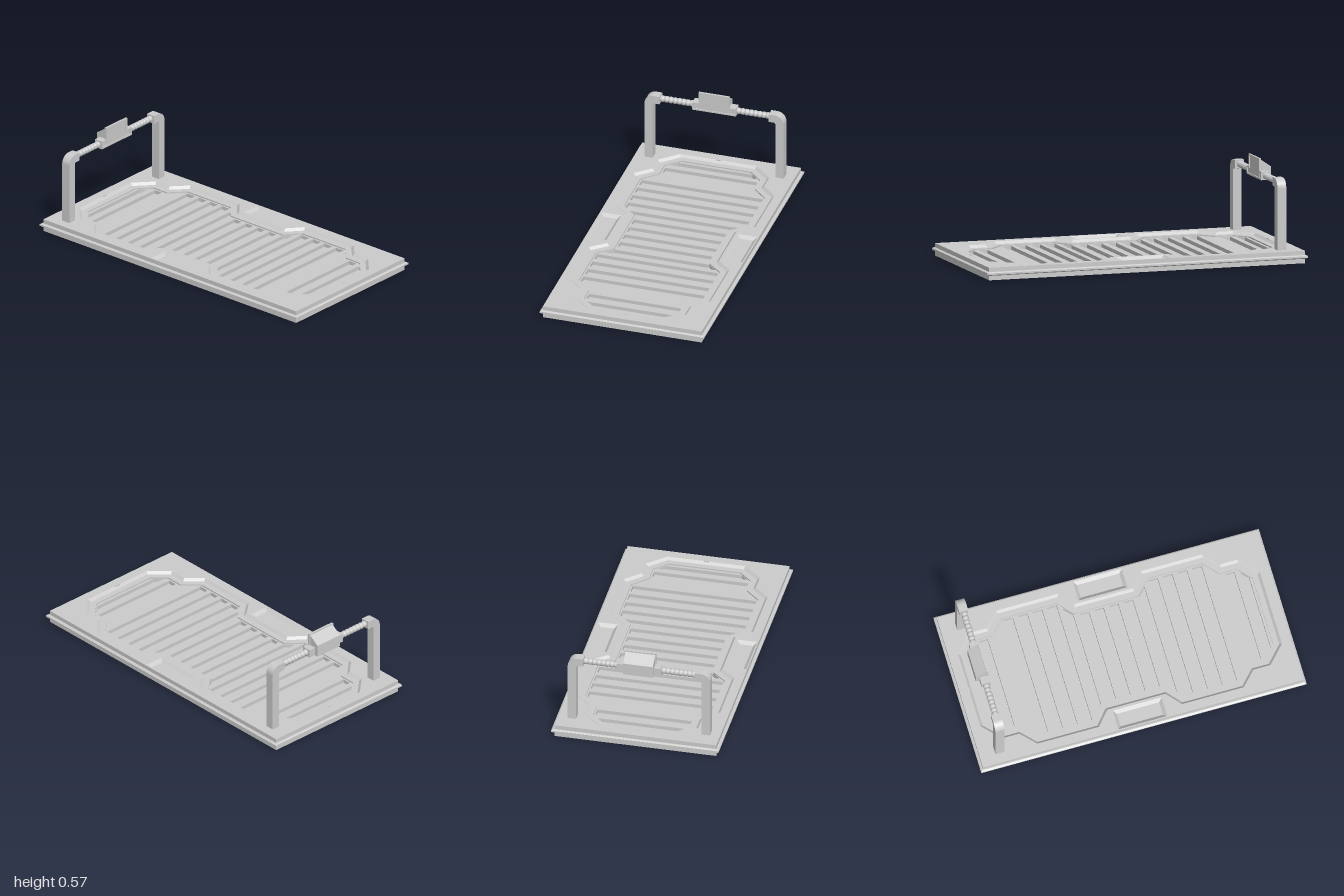
import * as THREE from 'three';

const material = new THREE.MeshStandardMaterial({ color: 0xcccccc });
const add = (parent, name, geometry) => {
  const mesh = new THREE.Mesh(geometry, material);
  mesh.name = name;
  parent.add(mesh);
  return mesh;
};
const vec = (pts) => pts.map(([x, y]) => new THREE.Vector2(x, y));
const rect = (x0, x1, y0, y1) => [[x0, y0], [x1, y0], [x1, y1], [x0, y1]];

// Shape from an outline and hole outlines
function shapeOf(points, holes = []) {
  const shape = new THREE.Shape(vec(points));
  holes.forEach((h) => shape.holes.push(new THREE.Path(vec(h))));
  return shape;
}

// Horizontal plate between two heights; outline y becomes -z
function plate(points, holes, y0, y1) {
  const g = new THREE.ExtrudeGeometry(shapeOf(points, holes), { depth: y1 - y0, bevelEnabled: false });
  return g.rotateX(-Math.PI / 2).translate(0, y0, 0);
}

// Upright plate between two depths
function upright(points, holes, z0, z1) {
  const g = new THREE.ExtrudeGeometry(shapeOf(points, holes), { depth: z1 - z0, bevelEnabled: false });
  return g.translate(0, 0, z0);
}

// Counter-clockwise outline moved inwards by d with mitred corners
function inset(points, d) {
  const n = points.length;
  const normal = (a, b) => {
    const l = Math.hypot(b[0] - a[0], b[1] - a[1]);
    return [-(b[1] - a[1]) / l, (b[0] - a[0]) / l];
  };
  return points.map((p, i) => {
    const u = normal(points[(i + n - 1) % n], p);
    const v = normal(p, points[(i + 1) % n]);
    const k = d / (1 + u[0] * v[0] + u[1] * v[1]);
    return [p[0] + (u[0] + v[0]) * k, p[1] + (u[1] + v[1]) * k];
  });
}

// Flat-faced skin between matching outlines, each given as [outline, height]
function loft(rings) {
  const pos = [];
  for (let r = 0; r + 1 < rings.length; r++) {
    const [lo, y0] = rings[r], [hi, y1] = rings[r + 1];
    lo.forEach((p, i) => {
      const j = (i + 1) % lo.length;
      const a = [p[0], y0, -p[1]], b = [lo[j][0], y0, -lo[j][1]];
      const c = [hi[j][0], y1, -hi[j][1]], d = [hi[i][0], y1, -hi[i][1]];
      pos.push(...a, ...b, ...c, ...a, ...c, ...d);
    });
  }
  const g = new THREE.BufferGeometry();
  g.setAttribute('position', new THREE.Float32BufferAttribute(pos, 3));
  g.computeVertexNormals();
  return g;
}

function buildBase() {
  const base = new THREE.Group();
  base.name = 'base';
  const TOP = 0.075, RING = 0.06, GRILLE = 0.052, FLOOR = 0.03;
  const body = rect(-0.49, 0.49, -0.985, 0.985);

  // Recess outline: one quarter mirrored to all four
  const quarter = [[0.345, 0.178], [0.435, 0.255], [0.435, 0.635], [0.345, 0.72], [0.345, 0.825], [0.235, 0.927]];
  const half = [...quarter.map(([x, y]) => [x, -y]).reverse(), ...quarter];
  const outline = [...half, ...half.map(([x, y]) => [-x, -y])];
  const pockets = [rect(0.36, 0.482, -0.15, 0.15), rect(-0.482, -0.36, -0.15, 0.15)];

  add(base, 'bottomSlab', plate(body, [], 0, FLOOR));
  add(base, 'topPlate', plate(body, [outline, ...pockets], FLOOR, TOP));

  // Bevelled edge strip
  const edge = (d) => inset(rect(-0.507, 0.507, -1, 1), d);
  add(base, 'edgeRim', loft([[edge(0.017), 0.028], [edge(0.01), 0.028], [edge(0), 0.034],
    [edge(0), 0.044], [edge(0.01), 0.05], [edge(0.017), 0.05]]));

  // Sloped recess wall and raised surround of the grille
  add(base, 'recessWall', loft([[outline, TOP], [inset(outline, 0.015), RING]]));
  const well = inset(outline, 0.05);
  add(base, 'grilleSurround', plate(outline, [well], FLOOR, RING));

  // Grille slots: [start, end, half width at start, half width at end]
  const slots = [];
  for (let i = 0; i < 4; i++) {
    const wide = 0.28 + i * 0.09, narrow = -0.163 + i * 0.09;
    slots.push([wide, wide + 0.06, 0.375, 0.375], [-wide - 0.06, -wide, 0.375, 0.375]);
    slots.push([narrow, narrow + 0.055, 0.285, 0.285]);
  }
  for (const [a, b, wa, wb] of [[0.202, 0.25, 0.295, 0.345], [0.645, 0.695, 0.352, 0.302],
    [0.73, 0.785, 0.285, 0.285], [0.82, 0.86, 0.27, 0.23]]) {
    slots.push([a, b, wa, wb], [-b, -a, wb, wa]);
  }
  const slotHoles = slots.map(([a, b, wa, wb]) => [[-wa, -a], [-wb, -b], [wb, -b], [wa, -a]]);
  add(base, 'grille', plate(well, slotHoles, FLOOR, GRILLE));

  // Side hand pockets with sloped walls
  pockets.forEach((p, i) => {
    const floor = inset(p, 0.02);
    add(base, i ? 'rightPocketWall' : 'leftPocketWall', loft([[p, TOP], [floor, 0.057]]));
    add(base, i ? 'rightPocketFloor' : 'leftPocketFloor', plate(floor, [], FLOOR, 0.057));
  });

  // Small catches at the recess ends
  for (const s of [-1, 1]) {
    add(base, s > 0 ? 'frontCatch' : 'backCatch', new THREE.BoxGeometry(0.03, 0.006, 0.012))
      .position.set(0, TOP - 0.001, s * 0.929);
  }
  return base;
}

function buildHandrail() {
  const rail = new THREE.Group();
  rail.name = 'handrail';

  // Posts with a rounded outer elbow
  const post = new THREE.Shape();
  post.moveTo(0.38, 0.06).lineTo(0.43, 0.06).lineTo(0.43, 0.445);
  post.absarc(0.375, 0.445, 0.055, 0, Math.PI / 2, false);
  post.lineTo(0.337, 0.5).lineTo(0.337, 0.45).lineTo(0.372, 0.45).lineTo(0.38, 0.442);

  // Ribbed grip profile
  const beads = 8, length = 0.21, step = length / beads;
  const profile = [];
  for (let i = 0; i < beads; i++) {
    for (const [t, r] of [[0, 0.015], [0.12, 0.018], [0.35, 0.02], [0.65, 0.02], [0.88, 0.018]]) {
      profile.push([r, (i + t) * step]);
    }
  }
  profile.push([0.015, length]);

  for (const s of [1, -1]) {
    const side = new THREE.Group();
    side.name = s > 0 ? 'leftRail' : 'rightRail';
    const postGeo = new THREE.ExtrudeGeometry(post, { depth: 0.055, bevelEnabled: false, curveSegments: 8 });
    add(side, 'post', postGeo.translate(0, 0, -0.89));
    const grip = add(side, 'ribbedGrip', new THREE.LatheGeometry(vec(profile), 16));
    grip.rotation.z = -Math.PI / 2;
    grip.position.set(0.13, 0.476, -0.8625);
    if (s < 0) side.rotation.y = Math.PI, side.position.z = -0.8625 * 2;
    rail.add(side);
  }
  return rail;
}

function buildConsole() {
  const unit = new THREE.Group();
  unit.name = 'console';
  const right = [[0.135, 0.45], [0.135, 0.5], [0.095, 0.5], [0.095, 0.574]];
  const face = [...right, ...right.map(([x, y]) => [-x, y]).reverse()];
  const panel = inset(face, 0.01);
  add(unit, 'screenFrame', upright(face, [panel], -0.848, -0.835));
  add(unit, 'screen', upright(panel, [], -0.85, -0.843));
  add(unit, 'lowerHousing', upright(rect(-0.135, 0.135, 0.45, 0.5), [], -0.89, -0.848));

  // Rear housing with a top sloping down to the back
  const wedge = shapeOf([[0.848, 0.447], [0.912, 0.447], [0.912, 0.522], [0.848, 0.566], [0.84, 0.566], [0.84, 0.447]]);
  const g = new THREE.ExtrudeGeometry(wedge, { depth: 0.18, bevelEnabled: false });
  add(unit, 'rearHousing', g.rotateY(Math.PI / 2).translate(-0.09, 0, 0));
  return unit;
}

export function createModel() {
  const model = new THREE.Group();
  model.name = 'treadPlatform';
  model.add(buildBase(), buildHandrail(), buildConsole());
  return model;
}
